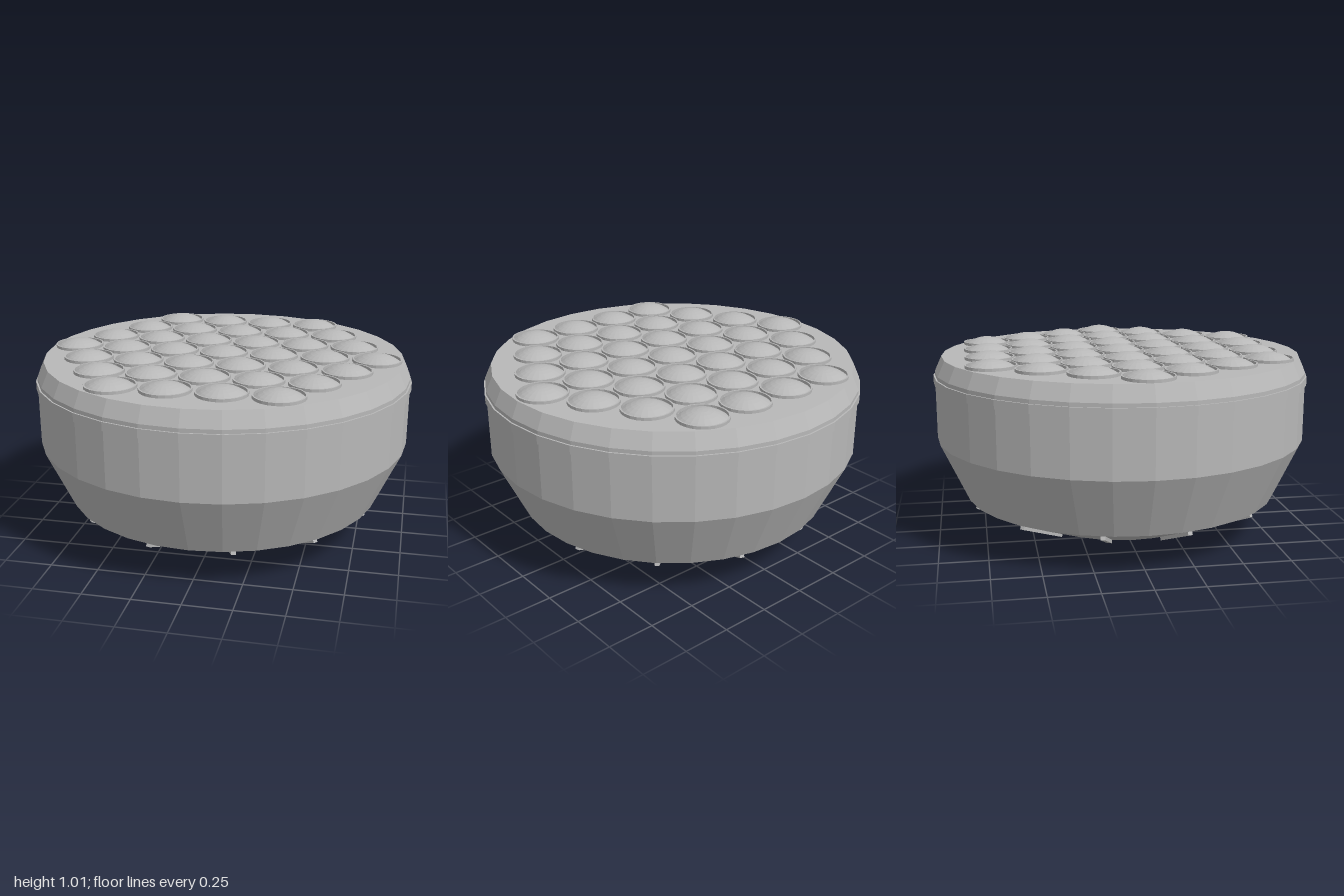
import * as THREE from 'three';

export function createModel() {
  const model = new THREE.Group();
  const grey = new THREE.MeshStandardMaterial({ color: 0xb8b8b8 });
  grey.name = 'grey';

  const add = (geometry, name, parent = model) => {
    const flat = geometry.index ? geometry.toNonIndexed() : geometry;
    flat.computeVertexNormals();
    const mesh = new THREE.Mesh(flat, grey);
    mesh.name = name;
    parent.add(mesh);
    return mesh;
  };
  // Faceted solid of revolution; points run from the bottom outwards and up
  const lathe = (points, segments) =>
    new THREE.LatheGeometry(points.map(([r, y]) => new THREE.Vector2(r, y)), segments);

  // Housing
  add(lathe([
    [0, 0.065], [0.5, 0.065], [0.845, 0.21], [0.99, 0.525],
    [0.99, 0.885], [0.953, 0.965], [0, 0.965],
  ], 32), 'housing');

  // Thin seam band around the upper wall
  add(lathe([[0.98, 0.82], [0.998, 0.82], [0.998, 0.865], [0.98, 0.865]], 32), 'seamBand');

  // Foot collar with an open, recessed centre
  add(lathe([
    [0.245, 0.065], [0.245, 0.002], [0.265, 0], [0.28, 0.01], [0.28, 0.07],
  ], 32), 'footCollar');

  // Grille of concentric rings and spokes inside the collar
  const grille = new THREE.Group();
  grille.name = 'footGrille';
  model.add(grille);
  for (const r of [0.08, 0.145, 0.21]) {
    add(lathe([
      [r - 0.01, 0.065], [r - 0.01, 0.015], [r + 0.01, 0.015], [r + 0.01, 0.065],
    ], 32), 'grilleRing', grille);
  }
  for (let i = 0; i < 4; i++) {
    const spoke = add(new THREE.BoxGeometry(0.495, 0.045, 0.016), 'grilleSpoke', grille);
    spoke.position.y = 0.0425;
    spoke.rotation.y = i * Math.PI / 4;
  }

  // Twelve ribs lying on the lower cone
  const slope = Math.atan2(0.145, 0.345);
  for (let i = 0; i < 12; i++) {
    const pivot = new THREE.Group();
    pivot.name = 'coneRib';
    pivot.rotation.y = (i + 0.5) * Math.PI / 6;
    const rib = add(new THREE.BoxGeometry(0.32, 0.03, 0.024), 'ribBar', pivot);
    rib.position.set(0.675, 0.136, 0);
    rib.rotation.z = slope;
    model.add(pivot);
  }

  // Hexagonal field of domed lenses, each in a raised rim
  const rim = lathe([[0.129, 0.96], [0.129, 0.98], [0.121, 0.98], [0.121, 0.96]], 24);
  const capRadius = 0.2;
  const capAngle = Math.asin(0.121 / capRadius);
  const dome = new THREE.SphereGeometry(capRadius, 20, 5, 0, Math.PI * 2, 0, capAngle);
  dome.translate(0, 1.006 - capRadius, 0);
  for (let row = -3; row <= 3; row++) {
    const count = 7 - Math.abs(row);
    for (let i = 0; i < count; i++) {
      const lens = new THREE.Group();
      lens.name = 'lens';
      lens.position.set((i - (count - 1) / 2) * 0.271, 0, row * 0.2347);
      add(rim, 'lensRim', lens);
      add(dome, 'lensDome', lens);
      model.add(lens);
    }
  }
  return model;
}
